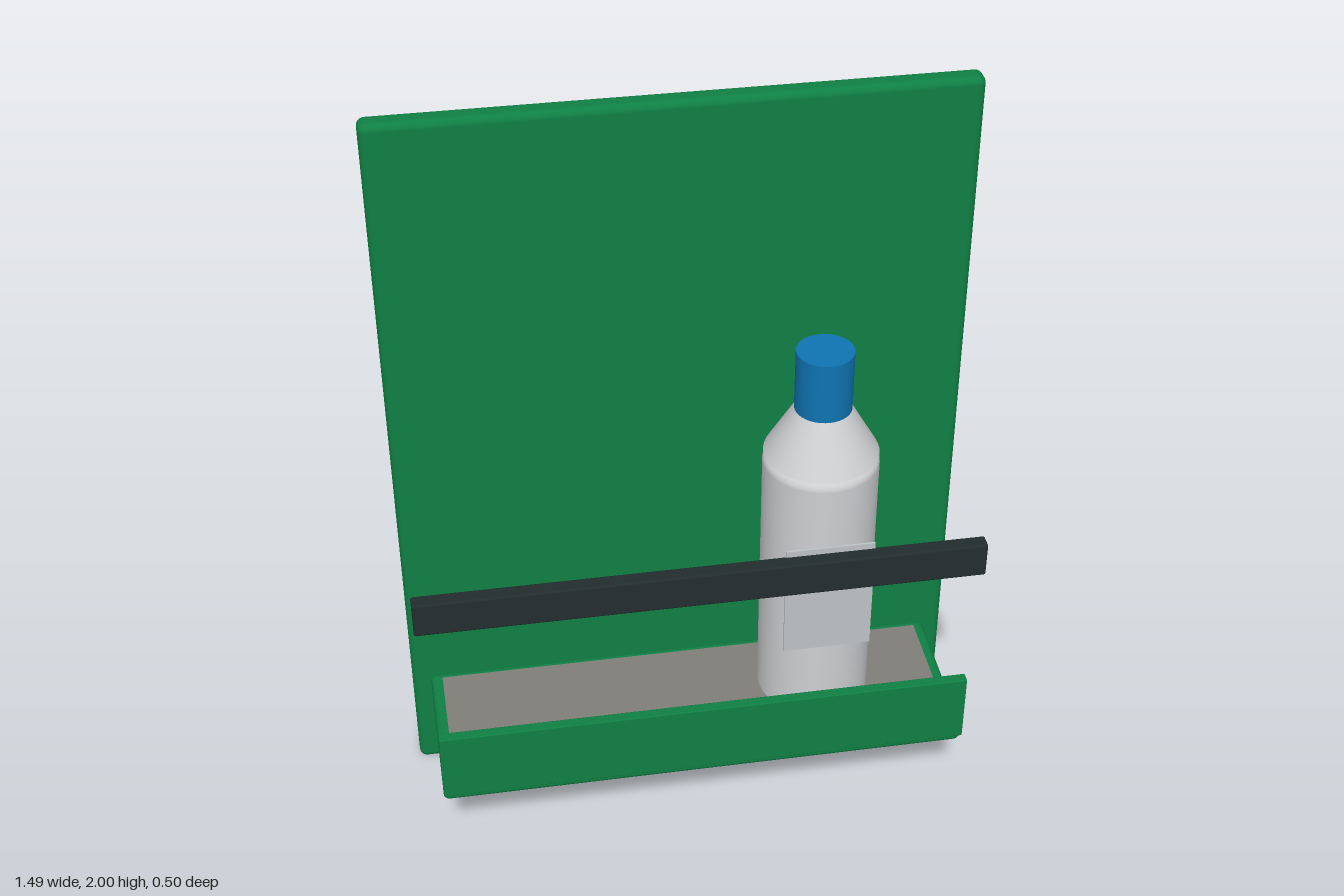
import * as THREE from 'three';
import { RoundedBoxGeometry } from 'three/addons/geometries/RoundedBoxGeometry.js';

const material = (name, color) => {
  const m = new THREE.MeshStandardMaterial({ color });
  m.name = name;
  return m;
};

export function createModel() {
  const group = new THREE.Group();
  group.name = 'wallShelf';

  const green = material('green', 0x0f8044);
  const charcoal = material('charcoal', 0x232d2e);
  const matGrey = material('matGrey', 0x7f7e78);
  const silver = material('silver', 0xcdcfd1);
  const labelGrey = material('labelGrey', 0xbec3c5);
  const blue = material('blue', 0x0f74b2);

  const add = (name, geometry, mat, x = 0, y = 0, z = 0) => {
    const mesh = new THREE.Mesh(geometry, mat);
    mesh.name = name;
    mesh.position.set(x, y, z);
    group.add(mesh);
    return mesh;
  };

  // Box given by its extents; a radius rounds the edges
  const box = (name, mat, [x0, x1], [y0, y1], [z0, z1], radius = 0) => {
    const size = [x1 - x0, y1 - y0, z1 - z0];
    const geometry = radius
      ? new RoundedBoxGeometry(...size, 3, radius)
      : new THREE.BoxGeometry(...size);
    return add(name, geometry, mat, (x0 + x1) / 2, (y0 + y1) / 2, (z0 + z1) / 2);
  };

  // Board, shelf and rail
  box('backPanel', green, [-0.747, 0.747], [0, 2], [-0.249, -0.187], 0.02);
  box('shelf', green, [-0.697, 0.697], [0.237, 0.303], [-0.2, 0.233], 0.015);
  box('shelfMat', matGrey, [-0.666, 0.666], [0.295, 0.309], [-0.172, 0.205]);
  box('frontLip', green, [-0.697, 0.697], [0.27, 0.47], [0.221, 0.249], 0.003);
  box('frontRail', charcoal, [-0.733, 0.733], [0.788, 0.886], [0.162, 0.204], 0.006);

  // Bottle
  const bx = 0.33, bz = 0.016, r = 0.149, bottom = 0.309, top = 1.104, round = 0.03;
  const profile = [new THREE.Vector2(0, bottom)];
  for (let i = 0; i <= 6; i++) {
    const a = (i / 6) * Math.PI / 2;
    profile.push(new THREE.Vector2(r - round + round * Math.sin(a), bottom + round - round * Math.cos(a)));
  }
  for (let i = 0; i <= 6; i++) {
    const a = (i / 6) * Math.PI / 2;
    profile.push(new THREE.Vector2(r - round + round * Math.cos(a), top - round + round * Math.sin(a)));
  }
  profile.push(new THREE.Vector2(0, top));
  add('bottleBody', new THREE.LatheGeometry(profile, 48), silver, bx, 0, bz);
  add('bottleShoulder', new THREE.CylinderGeometry(0.072, 0.147, 0.133, 48), silver, bx, 1.1695, bz);
  add('bottleCap', new THREE.CylinderGeometry(0.073, 0.073, 0.167, 48), blue, bx, 1.3185, bz);
  box('bottleLabel', labelGrey, [bx - 0.115, bx + 0.115], [0.573, 0.903], [0.162, 0.168]);

  return group;
}
